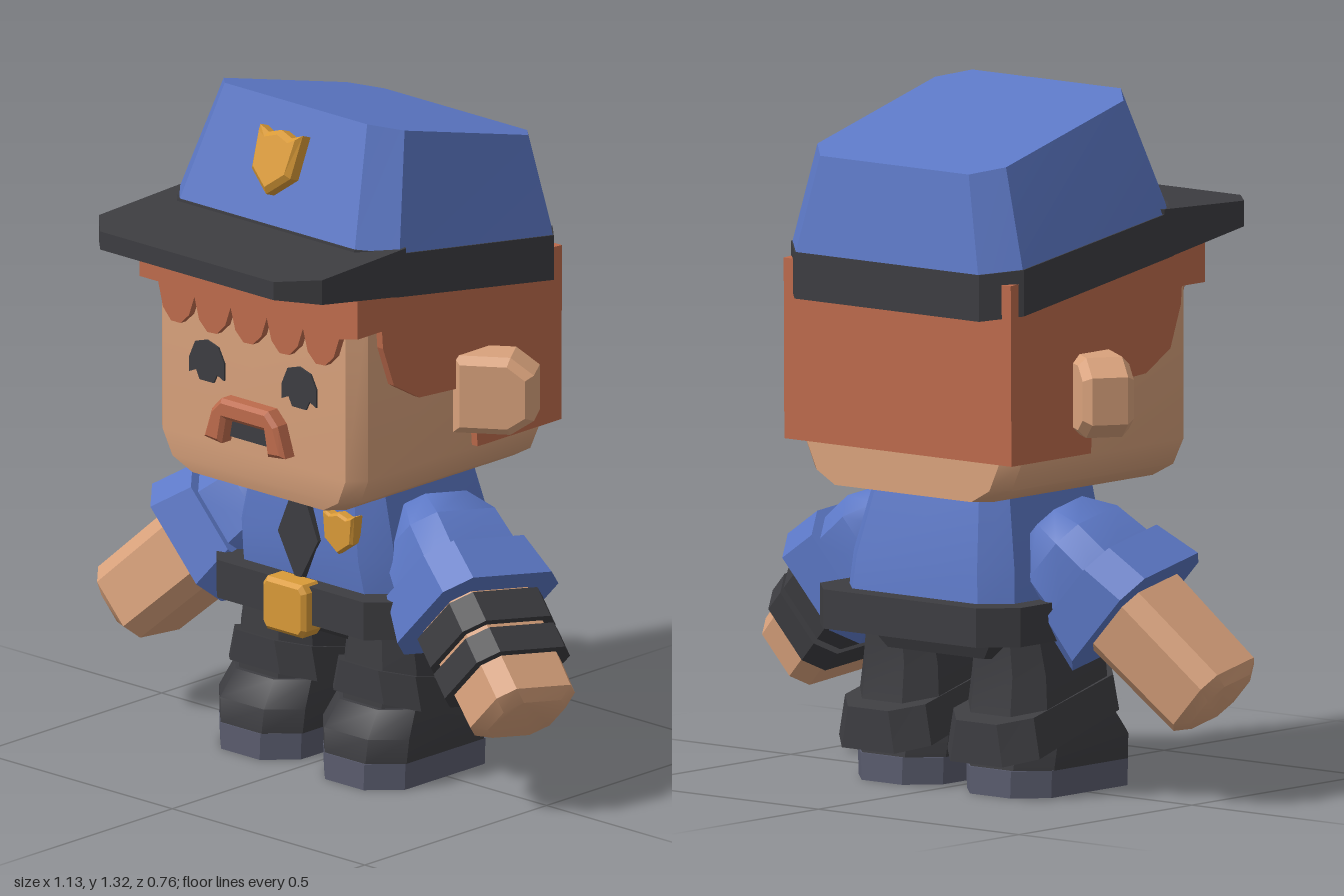
import * as THREE from 'three';
import { toCreasedNormals } from 'three/addons/utils/BufferGeometryUtils.js';

const mat = (name, color) => Object.assign(new THREE.MeshStandardMaterial({ color }), { name });

// Stacked eight-sided sections, bottom to top: [y, halfWidth, zBack, zFront, chamfer, slopeAlongZ]
function loft(sections) {
  const pos = [], idx = [], n = sections.length;
  for (const [y, w, z0, z1, c, slope = 0] of sections) {
    const ring = [[w, z1 - c], [w, z0 + c], [w - c, z0], [c - w, z0], [-w, z0 + c], [-w, z1 - c], [c - w, z1], [w - c, z1]];
    for (const [x, z] of ring) pos.push(x, y + slope * z, z);
  }
  for (let s = 0; s < n - 1; s++) {
    for (let i = 0; i < 8; i++) {
      const a = s * 8 + i, b = s * 8 + (i + 1) % 8;
      idx.push(a, b, b + 8, a, b + 8, a + 8);
    }
  }
  const t = (n - 1) * 8;
  for (let i = 1; i < 7; i++) idx.push(0, i + 1, i, t, t + i, t + i + 1);
  const g = new THREE.BufferGeometry();
  g.setAttribute('position', new THREE.Float32BufferAttribute(pos, 3));
  g.setIndex(idx);
  return toCreasedNormals(g.toNonIndexed(), 0.7);
}

// Extruded outline from a list of points
function plate(points, depth, bevel = 0) {
  const shape = new THREE.Shape(points.map(([x, y]) => new THREE.Vector2(x, y)));
  return new THREE.ExtrudeGeometry(shape, {
    depth, bevelEnabled: bevel > 0, bevelSize: bevel, bevelThickness: bevel, bevelSegments: 1, bevelOffset: -bevel,
  });
}

export function createModel() {
  const skin = mat('skin', 0xd9a27c), hair = mat('hair', 0xbd6b4c), blue = mat('uniform blue', 0x5c78c6);
  const dark = mat('dark cloth', 0x3d3d41), gold = mat('gold', 0xd99a38), grey = mat('sole grey', 0x5a5c6e);
  const model = new THREE.Group();
  model.name = 'officer';
  const add = (parent, name, geo, material, x = 0, y = 0, z = 0) => {
    const m = new THREE.Mesh(geo, material);
    m.name = name;
    m.position.set(x, y, z);
    parent.add(m);
    return m;
  };
  const group = (name, x = 0, y = 0, z = 0) => {
    const g = new THREE.Group();
    g.name = name;
    g.position.set(x, y, z);
    model.add(g);
    return g;
  };
  const shield = [[0, -0.07], [0.05, -0.03], [0.055, 0.055], [0.03, 0.045], [0, 0.055],
    [-0.03, 0.045], [-0.055, 0.055], [-0.05, -0.03]];

  // Head
  const head = group('head');
  add(head, 'face', loft([[0.595, 0.2, -0.255, 0.265, 0.03], [0.62, 0.245, -0.255, 0.272, 0.03],
    [0.67, 0.268, -0.255, 0.275, 0.03], [1.02, 0.268, -0.255, 0.275, 0.03]]), skin);

  // Hair sides and back, drawn in side profile and extruded across the head
  const side = plate([[0.23, 1.05], [0.22, 0.93], [0.19, 0.85], [0.12, 0.81], [-0.03, 0.8], [-0.04, 0.675],
    [-0.27, 0.675], [-0.272, 1.02]], 0.566);
  side.rotateY(-Math.PI / 2);
  add(head, 'hairBack', side, hair, 0.283);

  // Scalloped fringe
  const fringe = new THREE.Shape();
  fringe.moveTo(-0.283, 1.05);
  fringe.lineTo(-0.283, 0.965);
  fringe.lineTo(-0.235, 0.965);
  for (let i = 0; i < 5; i++) {
    const x = -0.235 + i * 0.094;
    fringe.bezierCurveTo(x + 0.01, 0.865, x + 0.08, 0.875, x + 0.094, 0.955);
  }
  fringe.lineTo(0.283, 0.965);
  fringe.lineTo(0.283, 1.05);
  add(head, 'fringe', new THREE.ExtrudeGeometry(fringe, { depth: 0.1, bevelEnabled: false, curveSegments: 5 }), hair, 0, 0, 0.19);

  // Eyes, ears and sideburn tops
  const eye = [[-0.045, 0], [-0.045, -0.03], [-0.027, -0.022], [-0.018, -0.04], [0.018, -0.04], [0.027, -0.022],
    [0.045, -0.03], [0.045, 0.005], [0.03, 0.033], [0, 0.042], [-0.03, 0.033]];
  const earShape = [[-0.08, -0.075], [0.03, -0.075], [0.075, -0.045], [0.075, 0.045], [0.03, 0.078], [-0.08, 0.078]];
  for (const s of [1, -1]) {
    add(head, s > 0 ? 'leftEye' : 'rightEye', plate(eye, 0.006), dark, s * 0.12, 0.83, 0.273);
    const ear = add(head, s > 0 ? 'leftEar' : 'rightEar',
      plate(earShape.map(([x, y]) => [s * x, y]), 0.07, 0.015), skin, s * 0.3, 0.79, -0.085);
    ear.rotation.y = s * 0.6;
  }

  // Moustache and mouth
  add(head, 'moustache', plate([[-0.105, 0.69], [-0.06, 0.685], [-0.05, 0.735], [0.05, 0.735], [0.06, 0.685],
    [0.105, 0.69], [0.085, 0.75], [0.06, 0.775], [-0.06, 0.775], [-0.085, 0.75]], 0.035, 0.008), hair, 0, 0, 0.265);
  add(head, 'mouth', plate([[-0.06, 0.695], [0.06, 0.695], [0.05, 0.737], [-0.05, 0.737]], 0.008), dark, 0, 0, 0.272);

  // Peaked cap
  const cap = group('cap');
  add(cap, 'crown', loft([[1.08, 0.288, -0.302, 0.24, 0.06, 0.148], [1.298, 0.235, -0.28, 0.16, 0.05, 0.262]]), blue);
  add(cap, 'capBand', loft([[0.997, 0.29, -0.302, 0.25, 0.06, 0.155], [1.084, 0.29, -0.302, 0.243, 0.06, 0.148]]), dark);
  add(cap, 'visor', loft([[0.997, 0.29, 0.1, 0.46, 0.065, 0.16], [1.125, 0.29, 0.1, 0.46, 0.065, -0.04]]), dark);
  const capBadge = add(cap, 'capBadge', plate(shield, 0.03, 0.01), gold, 0, 1.235, 0.19);
  capBadge.rotation.x = -0.35;

  // Torso, tie and belt
  const body = group('body');
  add(body, 'shirt', loft([[0.35, 0.21, -0.225, 0.13, 0.05], [0.46, 0.2, -0.215, 0.148, 0.05],
    [0.61, 0.165, -0.18, 0.135, 0.04]]), blue);
  add(body, 'tie', plate([[0, 0.385], [0.052, 0.48], [0.02, 0.555], [0.04, 0.595], [-0.04, 0.595],
    [-0.02, 0.555], [-0.052, 0.48]], 0.025), dark, 0, 0, 0.13);
  for (const s of [1, -1]) {
    add(body, 'collar', plate([[s * 0.025, 0.6], [s * 0.04, 0.565], [s * 0.09, 0.555], [s * 0.15, 0.6]], 0.03), blue, 0, 0, 0.118);
  }
  const chestBadge = add(body, 'chestBadge', plate(shield, 0.02, 0.006), gold, 0.11, 0.515, 0.138);
  chestBadge.scale.set(0.72, 0.65, 1);
  add(body, 'belt', loft([[0.32, 0.25, -0.265, 0.175, 0.06], [0.395, 0.25, -0.265, 0.175, 0.06]]), dark);
  add(body, 'buckle', plate([[-0.045, 0.295], [0.045, 0.295], [0.056, 0.31], [0.056, 0.385], [0.045, 0.4],
    [-0.045, 0.4], [-0.056, 0.385], [-0.056, 0.31]], 0.04, 0.008), gold, 0, 0, 0.15);
  add(body, 'hips', loft([[0.28, 0.17, -0.16, 0.1, 0.05], [0.33, 0.21, -0.18, 0.13, 0.05]]), dark);

  for (const s of [1, -1]) {
    const label = s > 0 ? 'left' : 'right';

    // Leg with draped cuff and boot
    const leg = group(label + 'Leg', s * 0.135);
    add(leg, 'sole', loft([[0.02, 0.105, -0.16, 0.17, 0.055], [0.072, 0.107, -0.16, 0.17, 0.055]]), grey);
    add(leg, 'boot', loft([[0.072, 0.108, -0.155, 0.168, 0.055], [0.12, 0.112, -0.15, 0.165, 0.055],
      [0.17, 0.1, -0.14, 0.13, 0.05]]), dark);
    add(leg, 'trouserCuff', loft([[0.145, 0.115, -0.2, 0.13, 0.05, 0.3], [0.215, 0.1, -0.2, 0.13, 0.05, 0.25]]), dark);
    add(leg, 'trouserLeg', loft([[0.17, 0.1, -0.16, 0.12, 0.05], [0.25, 0.092, -0.15, 0.115, 0.045],
      [0.32, 0.08, -0.15, 0.11, 0.04]]), dark);

    // Arm hanging along local -y, swung outward and slightly forward
    const arm = group(label + 'Arm', s * 0.23, 0.475, -0.01);
    arm.rotation.set(-0.2, 0, s * 0.82, 'ZXY');
    add(arm, 'forearm', loft([[-0.395, 0.06, -0.075, 0.075, 0.03], [-0.375, 0.08, -0.095, 0.095, 0.03],
      [-0.1, 0.083, -0.1, 0.1, 0.03]]), skin);
    add(arm, 'sleeveCuff', loft([[-0.155, 0.132, -0.14, 0.14, 0.045], [-0.06, 0.115, -0.13, 0.13, 0.045]]), blue);
    add(arm, 'sleeve', loft([[-0.09, 0.1, -0.12, 0.12, 0.04], [0.02, 0.09, -0.11, 0.11, 0.04],
      [0.08, 0.06, -0.08, 0.08, 0.03]]), blue);
    if (s > 0) {
      // Two wrist straps, on the left arm only
      for (const [y0, y1] of [[-0.3, -0.245], [-0.23, -0.165]]) {
        add(arm, 'wristStrap', loft([[y0, 0.096, -0.113, 0.113, 0.035], [y1, 0.096, -0.113, 0.113, 0.035]]), dark);
      }
    }
  }
  return model;
}
